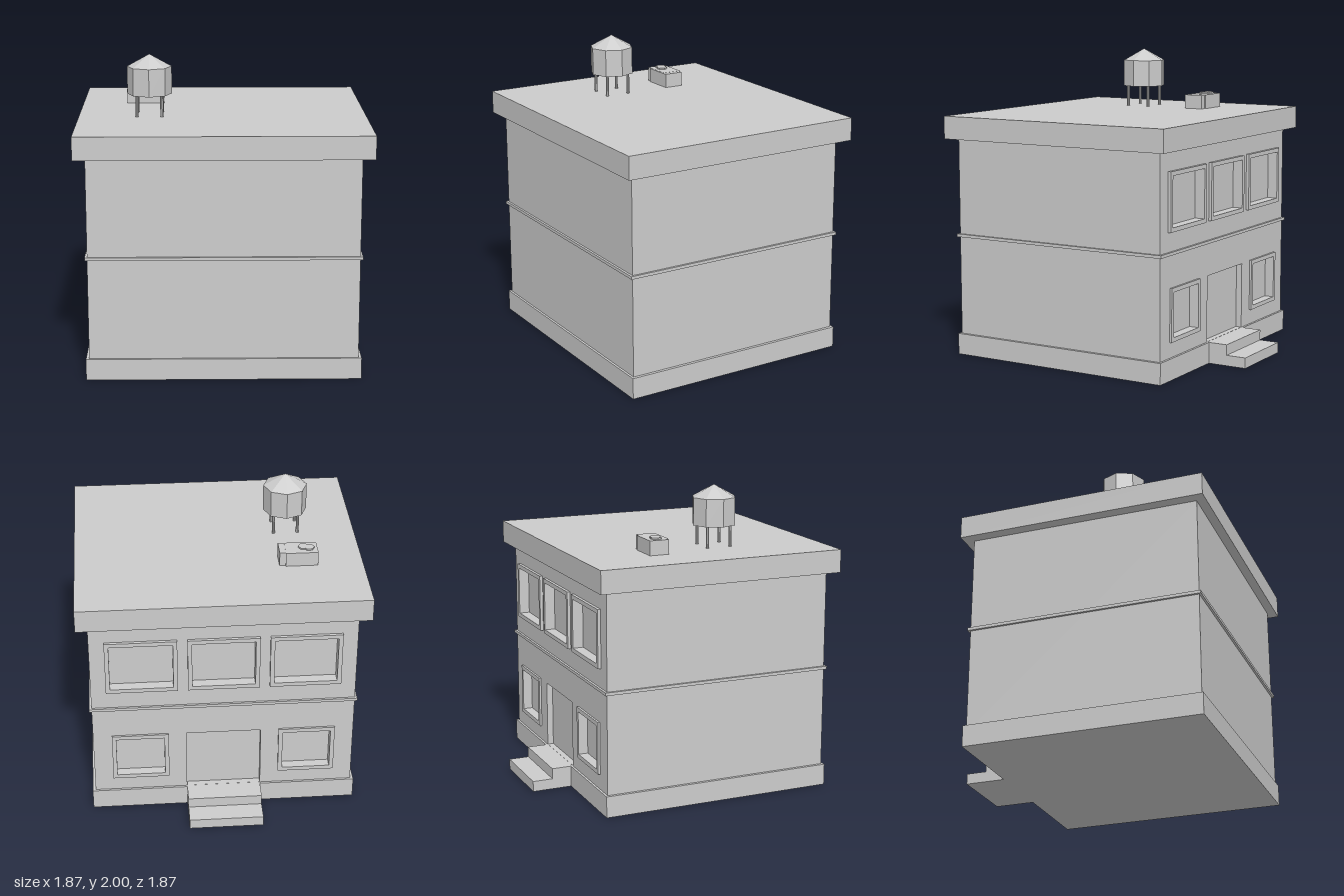
import * as THREE from 'three';

const gray = new THREE.MeshStandardMaterial({ color: 0xcccccc, flatShading: true });
gray.name = 'plain gray';

export function createModel() {
  const model = new THREE.Group();
  model.name = 'building';

  const add = (name, geometry, parent = model) => {
    const mesh = new THREE.Mesh(geometry, gray);
    mesh.name = name;
    parent.add(mesh);
    return mesh;
  };
  // Box given by its minimum and maximum on each axis
  const box = (name, x0, x1, y0, y1, z0, z1, parent) =>
    add(name, new THREE.BoxGeometry(x1 - x0, y1 - y0, z1 - z0)
      .translate((x0 + x1) / 2, (y0 + y1) / 2, (z0 + z1) / 2), parent);
  const rect = (C, x0, x1, y0, y1) =>
    new C([[x0, y0], [x1, y0], [x1, y1], [x0, y1]].map(p => new THREE.Vector2(...p)));
  // Rectangular plate with rectangular holes, between two z planes
  const plate = (name, outer, holes, z0, z1) => {
    const shape = rect(THREE.Shape, ...outer);
    shape.holes = holes.map(h => rect(THREE.Path, ...h));
    add(name, new THREE.ExtrudeGeometry(shape, { depth: z1 - z0, bevelEnabled: false })
      .translate(0, 0, z0));
  };

  // Main block and its horizontal bands
  const wallZ = -0.655, paneZ = -0.605;
  box('base', -0.88, 0.88, 0, 0.14, -0.67, 0.89);
  box('walls', -0.86, 0.86, 0.14, 1.45, paneZ, 0.875);
  box('floorBand', -0.875, 0.875, 0.795, 0.815, -0.67, 0.89);
  box('roof', -0.935, 0.935, 1.45, 1.6, -0.72, 0.935);

  // Window frames: outer rectangle and how far each stands out
  const windows = [
    ...[-0.53, 0, 0.53].map(x => ({ r: [x - 0.232, x + 0.232, 0.94, 1.32], out: 0.02 })),
    ...[-0.55, 0.55].map(x => ({ r: [x - 0.187, x + 0.187, 0.24, 0.585], out: 0.014 })),
  ];
  const inset = ([x0, x1, y0, y1], d) => [x0 + d, x1 - d, y0 + d, y1 - d];
  const door = [-0.245, 0.245, 0.141, 0.58];

  // Entrance wall with window and door openings
  plate('entranceWall', [-0.86, 0.86, 0.14, 1.45],
    [...windows.map(w => inset(w.r, 0.028)), door], wallZ, paneZ);
  for (const { r, out } of windows)
    plate('windowFrame', r, [inset(r, 0.028)], wallZ - out, wallZ);
  box('door', ...door, -0.615, paneZ);

  // Entrance steps
  box('lowerStep', -0.245, 0.245, 0, 0.07, -0.935, -0.67);
  box('upperStep', -0.245, 0.245, 0.07, 0.14, -0.8, -0.67);

  // Water tank on four legs
  const tank = new THREE.Group();
  tank.name = 'waterTank';
  tank.position.set(-0.475, 1.6, 0.25);
  model.add(tank);
  add('tankBody', new THREE.CylinderGeometry(0.145, 0.145, 0.18, 8).translate(0, 0.23, 0), tank);
  add('tankRoof', new THREE.ConeGeometry(0.145, 0.08, 8).translate(0, 0.36, 0), tank);
  for (const x of [-0.08, 0.08])
    for (const z of [-0.08, 0.08])
      add('tankLeg', new THREE.CylinderGeometry(0.01, 0.01, 0.14, 8).translate(x, 0.07, z), tank);

  // Rooftop vent: two overlapping boxes, each with a hexagonal cap
  const vent = new THREE.Group();
  vent.name = 'roofVent';
  model.add(vent);
  box('ventBox', -0.64, -0.43, 1.6, 1.695, -0.27, -0.14, vent);
  box('ventBox', -0.6, -0.39, 1.6, 1.694, -0.26, -0.13, vent);
  [[-0.585, -0.208, 1.706], [-0.55, -0.197, 1.705]].forEach(([x, z, top]) =>
    add('ventCap', new THREE.CylinderGeometry(0.036, 0.036, 0.02, 6)
      .rotateY(Math.PI / 6).translate(x, top - 0.01, z), vent));

  return model;
}
